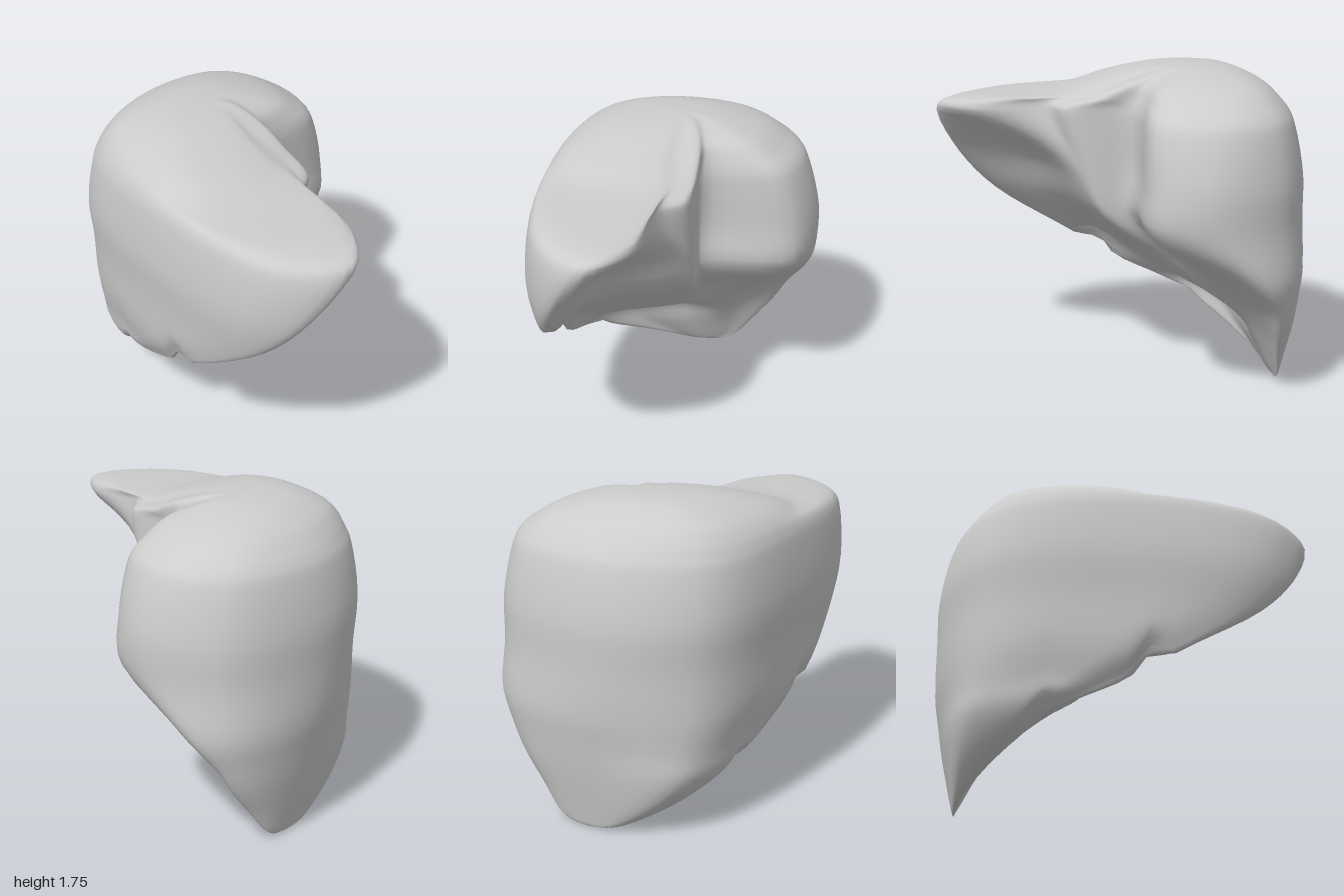
import * as THREE from 'three';

const AROUND = 72, DOWN = 60;
const { smoothstep, lerp } = THREE.MathUtils;

// Point between a and b, pushed by k from their midpoint towards the box corner (a.x, b.z).
function bulge(a, b, k) {
  return new THREE.Vector3(lerp((a.x + b.x) / 2, a.x, k), a.y, lerp((a.z + b.z) / 2, b.z, k));
}

// One horizontal cross-section through the left tip, front, right side, back,
// inner notch and middle ridge; the rounded corners between them follow by rule.
function section(y, tipX, tipZ, frontZ, sideX, backX, backZ, notchX, notchZ, ridgeX, ridgeZ) {
  const at = (x, z) => new THREE.Vector3(x, y, z);
  const tip = at(tipX, tipZ);
  const front = at(lerp(sideX, Math.min(tipX, 0.45), 0.7), frontZ);
  const side = at(sideX, Math.min(0.08, 0.15 * y - 0.08));
  const back = at(backX, backZ);
  const notch = at(notchX, notchZ);
  const ridge = at(ridgeX, ridgeZ);
  const upper = smoothstep(y, 0.5, 0.95);
  const hollow = lerp(0.3, -0.4, smoothstep(y, 1.3, 1.5));
  const curve = new THREE.CatmullRomCurve3([
    tip, bulge(tip, front, 0.5), front, bulge(side, front, 0.5), side, bulge(side, back, 0.5),
    back, bulge(notch, back, 0.6 * upper), notch, bulge(ridge, notch, 0.5 * upper), ridge,
    bulge(ridge, tip, hollow),
  ], true);
  return Array.from({ length: AROUND }, (_, j) => curve.getPoint(j / AROUND));
}

const pole = (x, y, z) => Array.from({ length: AROUND }, () => new THREE.Vector3(x, y, z));

// Small upward nicks where the lobes meet along the lower front edge.
function edgeNick({ x, y, z }) {
  const nick = (centre, depth) => depth * Math.exp(-(((x - centre) / 0.06) ** 2));
  const nearEdge = smoothstep(z, 0.4, 0.58) * (1 - smoothstep(y, 0.6, 0.85));
  return nearEdge * (nick(0.08, 0.08) + nick(-0.46, 0.04));
}

// Skin the sections with a smooth curve down every column, closed at both poles.
function loft(rings) {
  const columns = rings[0].map((_, j) => new THREE.CatmullRomCurve3(rings.map(r => r[j])));
  const position = [], index = [];
  for (let i = 0; i <= DOWN; i++) {
    const count = i === 0 || i === DOWN ? 1 : AROUND;
    for (let j = 0; j < count; j++) {
      const p = columns[j].getPoint(i / DOWN);
      position.push(p.x, p.y + edgeNick(p), p.z);
    }
  }
  const vertex = (i, j) => {
    if (i === 0) return 0;
    return 1 + (i - 1) * AROUND + (i === DOWN ? 0 : j % AROUND);
  };
  for (let i = 0; i < DOWN; i++) {
    for (let j = 0; j < AROUND; j++) {
      const a = vertex(i, j), b = vertex(i, j + 1), c = vertex(i + 1, j), d = vertex(i + 1, j + 1);
      if (i > 0) index.push(a, b, c);
      if (i < DOWN - 1) index.push(b, d, c);
    }
  }
  const geometry = new THREE.BufferGeometry();
  geometry.setAttribute('position', new THREE.Float32BufferAttribute(position, 3));
  geometry.setIndex(index);
  geometry.computeVertexNormals();
  return geometry;
}

export function createModel() {
  const grey = new THREE.MeshStandardMaterial({ color: 0xcccccc });
  grey.name = 'organ grey';

  const body = new THREE.Mesh(loft([
    // domed top
    pole(-0.42, 1.753, 0.08),
    section(1.735, -0.2, 0.18, 0.36, -0.62, -0.47, -0.16, -0.33, -0.08, -0.25, 0),
    section(1.66, 0.09, 0.28, 0.58, -0.79, -0.55, -0.43, -0.15, -0.14, -0.02, 0),
    section(1.585, 0.32, 0.28, 0.67, -0.87, -0.55, -0.56, -0.1, -0.14, 0.18, -0.02),
    // flat top of the left lobe
    section(1.535, 0.93, 0.28, 0.705, -0.91, -0.53, -0.63, -0.08, -0.14, 0.38, 0.04),
    section(1.48, 0.995, 0.33, 0.72, -0.94, -0.52, -0.67, -0.07, -0.14, 0.38, 0.03),
    // hollow behind the left lobe
    section(1.2, 0.89, 0.5, 0.745, -1, -0.47, -0.75, -0.07, -0.13, 0.24, -0.06),
    section(0.95, 0.68, 0.6, 0.725, -1, -0.5, -0.745, -0.07, -0.13, 0.14, 0),
    // sloping underside
    section(0.68, 0.27, 0.67, 0.7, -0.995, -0.7, -0.69, -0.34, -0.12, -0.12, 0.18),
    section(0.5, -0.05, 0.62, 0.635, -0.97, -0.8, -0.58, -0.5, -0.12, -0.38, 0.15),
    // hollow above the lower right tip
    section(0.36, -0.37, 0.55, 0.565, -0.95, -0.83, -0.5, -0.67, -0.15, -0.69, 0.08),
    section(0.2, -0.63, 0.36, 0.39, -0.92, -0.85, -0.38, -0.77, -0.15, -0.75, 0.05),
    section(0.06, -0.81, 0.12, 0.15, -0.89, -0.87, -0.27, -0.84, -0.15, -0.82, 0),
    section(0.015, -0.85, 0, 0.03, -0.88, -0.87, -0.2, -0.86, -0.12, -0.85, -0.04),
    pole(-0.87, 0, -0.1),
  ]), grey);
  body.name = 'lobedBody';

  const model = new THREE.Group();
  model.name = 'liver';
  model.add(body);
  return model;
}
